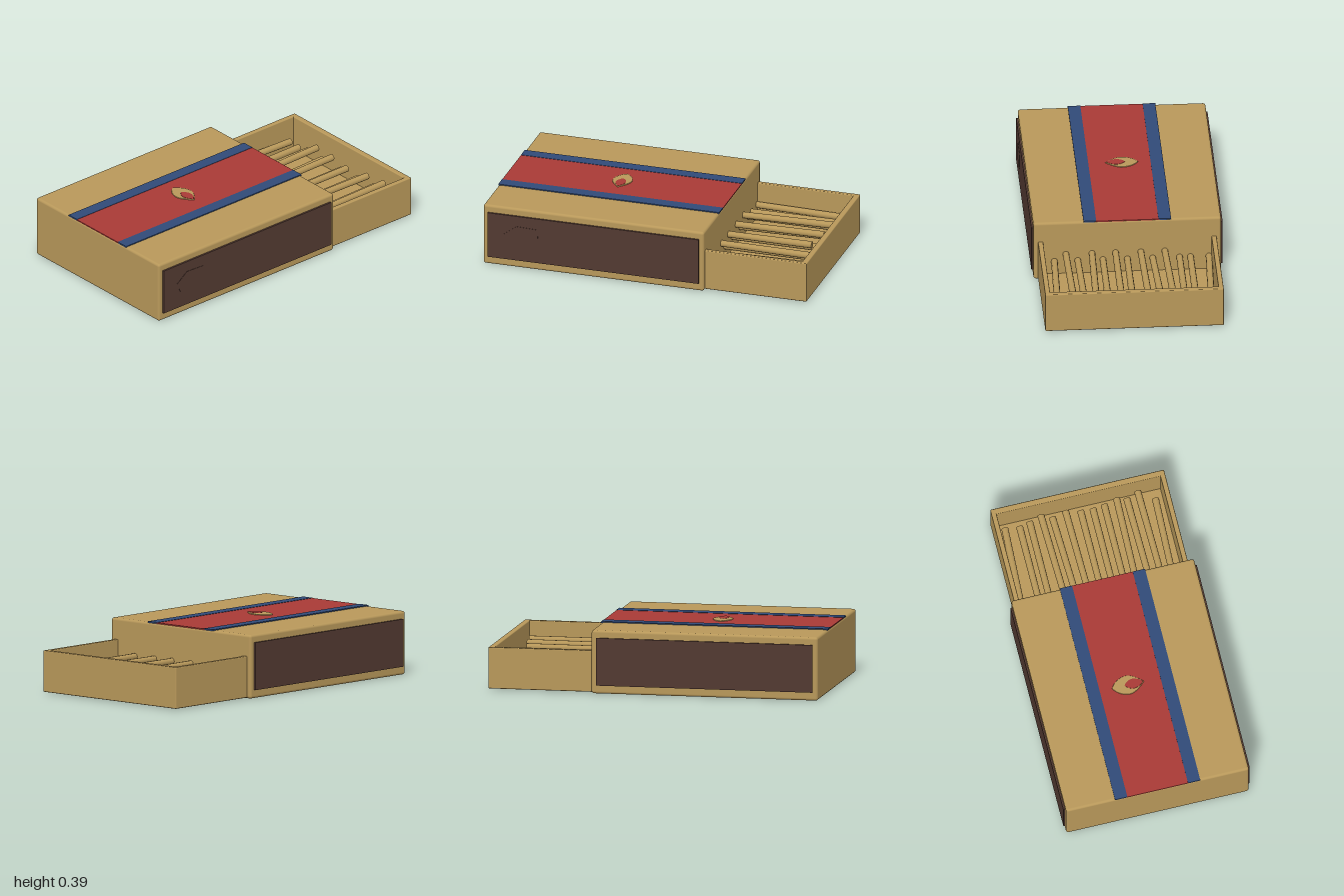
import * as THREE from 'three';
import { RoundedBoxGeometry } from 'three/addons/geometries/RoundedBoxGeometry.js';

const material = (name, color) => {
  const m = new THREE.MeshStandardMaterial({ color });
  m.name = name;
  return m;
};

export function createModel() {
  const group = new THREE.Group();
  const tan = material('cardboard tan', 0xb8985a);
  const red = material('label red', 0xa83a36);
  const blue = material('stripe blue', 0x304a78);
  const brown = material('striker brown', 0x523931);

  const add = (name, geometry, mat) => {
    const mesh = new THREE.Mesh(geometry, mat);
    mesh.name = name;
    group.add(mesh);
    return mesh;
  };
  // Box given by its limits, rounded when r > 0
  const box = (name, mat, [x0, x1], [y0, y1], [z0, z1], r = 0) => {
    const size = [x1 - x0, y1 - y0, z1 - z0];
    const geometry = r ? new RoundedBoxGeometry(...size, 3, r) : new THREE.BoxGeometry(...size);
    add(name, geometry, mat).position.set((x0 + x1) / 2, (y0 + y1) / 2, (z0 + z1) / 2);
  };

  // Outer sleeve
  box('sleeve', tan, [-1, 0.37], [0, 0.38], [-0.557, 0.557], 0.015);

  // Striking strips on both long sides
  box('frontStriker', brown, [-0.97, 0.34], [0.05, 0.335], [0.552, 0.568]);
  box('backStriker', brown, [-0.97, 0.34], [0.05, 0.335], [-0.568, -0.552]);

  // Worn patch on the front striker
  const patch = new THREE.Shape([
    [-0.87, 0.21], [-0.84, 0.15], [-0.7, 0.14], [-0.655, 0.18], [-0.66, 0.265], [-0.79, 0.27],
  ].map(([x, y]) => new THREE.Vector2(x, y)));
  add('strikerPatch', new THREE.ExtrudeGeometry(patch, { depth: 0.003, bevelEnabled: false }), brown)
    .position.z = 0.567;

  // Top label: red band edged with blue
  box('redBand', red, [-1, 0.372], [0.377, 0.384], [-0.19, 0.19]);
  for (const s of [-1, 1]) {
    const z = [s * 0.185, s * 0.26].sort((a, b) => a - b);
    box('blueStripe', blue, [-1, 0.372], [0.377, 0.386], z);
  }

  // Flame emblem: shapes drawn with y running toward the back
  const outer = new THREE.Shape();
  outer.moveTo(0, 0.11);
  outer.bezierCurveTo(-0.04, 0.09, -0.065, 0.04, -0.058, 0.0);
  outer.bezierCurveTo(-0.05, -0.03, -0.025, -0.06, 0, -0.085);
  outer.bezierCurveTo(0.025, -0.06, 0.05, -0.03, 0.058, 0.0);
  outer.bezierCurveTo(0.065, 0.04, 0.04, 0.09, 0, 0.11);
  const inner = new THREE.Shape();
  inner.moveTo(0, 0.035);
  inner.bezierCurveTo(-0.022, 0.02, -0.036, -0.005, -0.03, -0.03);
  inner.bezierCurveTo(-0.024, -0.055, -0.012, -0.07, 0, -0.08);
  inner.bezierCurveTo(0.012, -0.07, 0.024, -0.055, 0.03, -0.03);
  inner.bezierCurveTo(0.036, -0.005, 0.022, 0.02, 0, 0.035);
  const flame = (name, shape, mat, depth) => {
    const geometry = new THREE.ExtrudeGeometry(shape, {
      depth, bevelThickness: 0.003, bevelSize: 0.004, bevelOffset: -0.004, bevelSegments: 2, curveSegments: 10,
    });
    const mesh = add(name, geometry, mat);
    mesh.rotation.x = -Math.PI / 2;
    mesh.position.set(-0.315, 0.383, 0);
  };
  flame('outerFlame', outer, tan, 0.003);
  flame('innerFlame', inner, red, 0.005);

  // Sliding tray, open at the top
  box('trayFloor', tan, [0.3, 0.99], [0.012, 0.035], [-0.52, 0.52]);
  box('trayEnd', tan, [0.965, 1], [0.005, 0.253], [-0.53, 0.53], 0.006);
  for (const s of [-1, 1]) {
    const z = [s * 0.5, s * 0.53].sort((a, b) => a - b);
    box('traySide', tan, [0.3, 0.998], [0.005, 0.253], z, 0.006);
  }

  // Matchsticks: [z, end x, raised layer, slant]
  const matches = [
    [-0.475, 0.91, 0, -0.02], [-0.375, 0.9, 0, 0], [-0.31, 0.915, 0, 0], [-0.23, 0.925, 1, 0.015],
    [-0.16, 0.91, 0, 0.02], [-0.085, 0.915, 1, 0.01], [0.0, 0.91, 0, 0], [0.07, 0.89, 1, 0],
    [0.145, 0.915, 0, 0], [0.215, 0.92, 1, -0.01], [0.29, 0.92, 0, 0.01], [0.36, 0.935, 1, 0.01],
    [0.44, 0.88, 0, -0.015],
  ];
  for (const [z, end, layer, slant] of matches) {
    const length = end - 0.3;
    const stick = add('matchstick', new THREE.CylinderGeometry(0.021, 0.019, length, 10), tan);
    stick.rotation.set(0, slant * 2, -Math.PI / 2);
    stick.position.set(0.3 + length / 2, layer ? 0.165 : 0.12, z);
  }

  return group;
}
